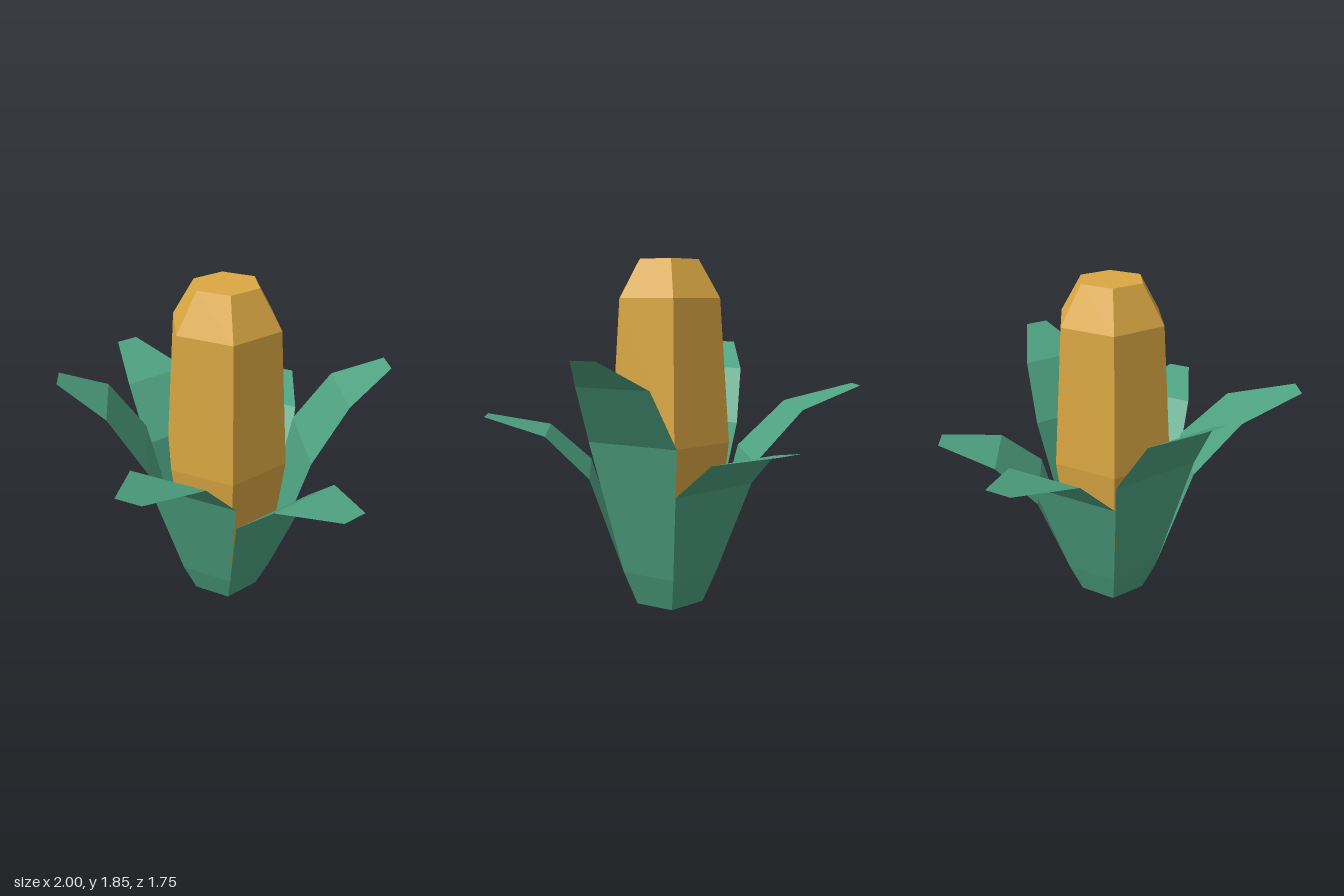
import * as THREE from 'three';

const green = new THREE.MeshStandardMaterial({ color: 0x4fa383, flatShading: true, side: THREE.DoubleSide });
const yellow = new THREE.MeshStandardMaterial({ color: 0xdba843, flatShading: true });

// Strip of flat panels through rows of [distance out, height, half width], facing +x
function stripGeometry(rows) {
  const positions = [], index = [];
  rows.forEach(([d, y, h], i) => {
    positions.push(d, y, h, d, y, -h);
    if (i > 0) {
      const a = 2 * i - 2;
      index.push(a, a + 1, a + 3, a, a + 3, a + 2);
    }
  });
  const geometry = new THREE.BufferGeometry();
  geometry.setAttribute('position', new THREE.Float32BufferAttribute(positions, 3));
  geometry.setIndex(index);
  geometry.computeVertexNormals();
  return geometry;
}

function addMesh(parent, name, geometry, material) {
  const mesh = new THREE.Mesh(geometry, material);
  mesh.name = name;
  parent.add(mesh);
  return mesh;
}

export function createModel() {
  const model = new THREE.Group();
  model.name = 'cornCob';
  const plant = new THREE.Group();
  plant.name = 'plant';
  plant.position.set(0.036, 0, -0.033);
  model.add(plant);

  // Six-sided cob with a tapered flat top
  const profile = [[0, 0.2], [0.27, 0.2], [0.35, 0.91], [0.2915, 1.65], [0.172, 1.845], [0, 1.845]];
  addMesh(plant, 'cob', new THREE.LatheGeometry(profile.map(([r, y]) => new THREE.Vector2(r, y)), 6), yellow);

  // Husk leaves, one per side: [distance, height] at the shoulder, bend and tip
  const leaves = [
    [[0.424, 0.745], [0.644, 0.96], [0.964, 1.045]],
    [[0.424, 0.86], [0.667, 1.13], [1.007, 1.24]],
    [[0.424, 0.94], [0.611, 1.24], [0.846, 1.385]],
    [[0.43, 0.81], [0.686, 1.077], [1.036, 1.187]],
    [[0.408, 0.7], [0.625, 0.895], [0.935, 0.975]],
    [[0.424, 0.94], [0.611, 1.24], [0.85, 1.385]],
  ];
  const halfWidths = [0.243, 0.195, 0.065];
  leaves.forEach((points, i) => {
    const rows = [[0.18, 0, 0.104], [0.2525, 0.2, 0.146]];
    points.forEach(([d, y], j) => rows.push([d, y, halfWidths[j]]));
    addMesh(plant, 'huskLeaf' + (i + 1), stripGeometry(rows), green).rotation.y = -i * Math.PI / 3;
  });

  // Flat underside of the husk
  const base = new THREE.CircleGeometry(0.208, 6, Math.PI / 2).rotateX(Math.PI / 2);
  addMesh(plant, 'huskBase', base, green);

  return model;
}
